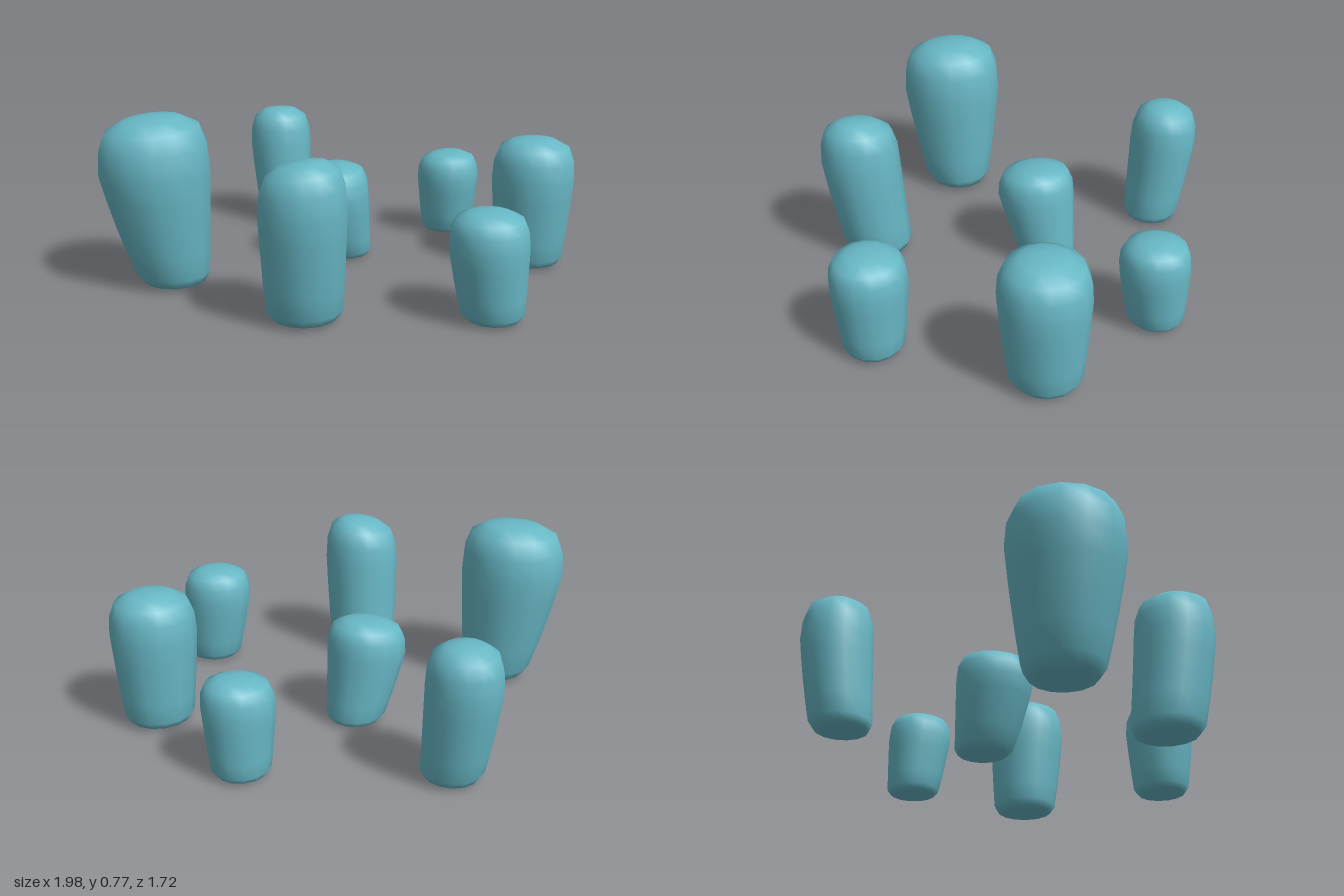
import * as THREE from 'three';
import { mergeVertices } from 'three/addons/utils/BufferGeometryUtils.js';

// Rounded column section: [radius factor, height fraction]
const PROFILE = [
  [0, 0], [0.62, 0.002], [0.88, 0.022], [1, 0.075], [1, 0.22], [1, 0.38], [1, 0.54],
  [1, 0.69], [0.96, 0.83], [0.83, 0.935], [0.52, 0.988], [0.2, 1], [0, 1],
];

// base: [x, z, radius], top: [x, z, radius], tilt: slope of the cap along x and z
const STONES = [
  { name: 'largeFrontStone', h: 0.765, base: [-0.695, 0.385, 0.152], top: [-0.755, 0.425, 0.246], tilt: [0.05, -0.05] },
  { name: 'frontStone', h: 0.68, base: [-0.008, 0.62, 0.158], top: [0.008, 0.68, 0.182], tilt: [0.15, 0] },
  { name: 'leftFrontStone', h: 0.467, base: [0.738, 0.42, 0.128], top: [0.713, 0.432, 0.167], tilt: [0, 0] },
  { name: 'leftBackStone', h: 0.607, base: [0.8, -0.322, 0.152], top: [0.806, -0.31, 0.192], tilt: [0, 0] },
  { name: 'backStone', h: 0.42, base: [0.325, -0.735, 0.122], top: [0.333, -0.712, 0.155], tilt: [0.04, -0.04] },
  { name: 'middleStone', h: 0.46, base: [-0.07, -0.2, 0.125], top: [-0.117, -0.125, 0.178], tilt: [0.08, -0.1] },
  { name: 'rightBackStone', h: 0.607, base: [-0.528, -0.648, 0.13], top: [-0.567, -0.684, 0.158], tilt: [0, 0] },
];

// Leaning, tapering stone with a softly tilted cap
function stoneGeometry({ h, base, top, tilt }, yaw) {
  const points = PROFILE.map(([r, t]) => new THREE.Vector2(r, t));
  let geometry = new THREE.LatheGeometry(points, 14, yaw);
  geometry.deleteAttribute('uv');
  geometry.deleteAttribute('normal');
  geometry = mergeVertices(geometry, 1e-4);
  const pos = geometry.attributes.position;
  for (let i = 0; i < pos.count; i++) {
    const t = pos.getY(i);
    const s = Math.min(t / 0.72, 1);
    const k = s * (1.3 - 0.3 * s); // gently easing growth from base to shoulder
    const [cx, cz, r] = base.map((b, j) => THREE.MathUtils.lerp(b, top[j], k));
    const dx = pos.getX(i) * r, dz = pos.getZ(i) * r;
    const y = 0.008 + t * h + t ** 3 * (tilt[0] * dx + tilt[1] * dz);
    pos.setXYZ(i, cx + dx, y, cz + dz);
  }
  geometry.computeVertexNormals();
  return geometry;
}

export function createModel() {
  const group = new THREE.Group();
  group.name = 'stoneCluster';
  const teal = new THREE.MeshStandardMaterial({ color: 0x68b8c6 });
  teal.name = 'teal';
  STONES.forEach((stone, i) => {
    const mesh = new THREE.Mesh(stoneGeometry(stone, i * 0.31), teal);
    mesh.name = stone.name;
    group.add(mesh);
  });
  return group;
}
